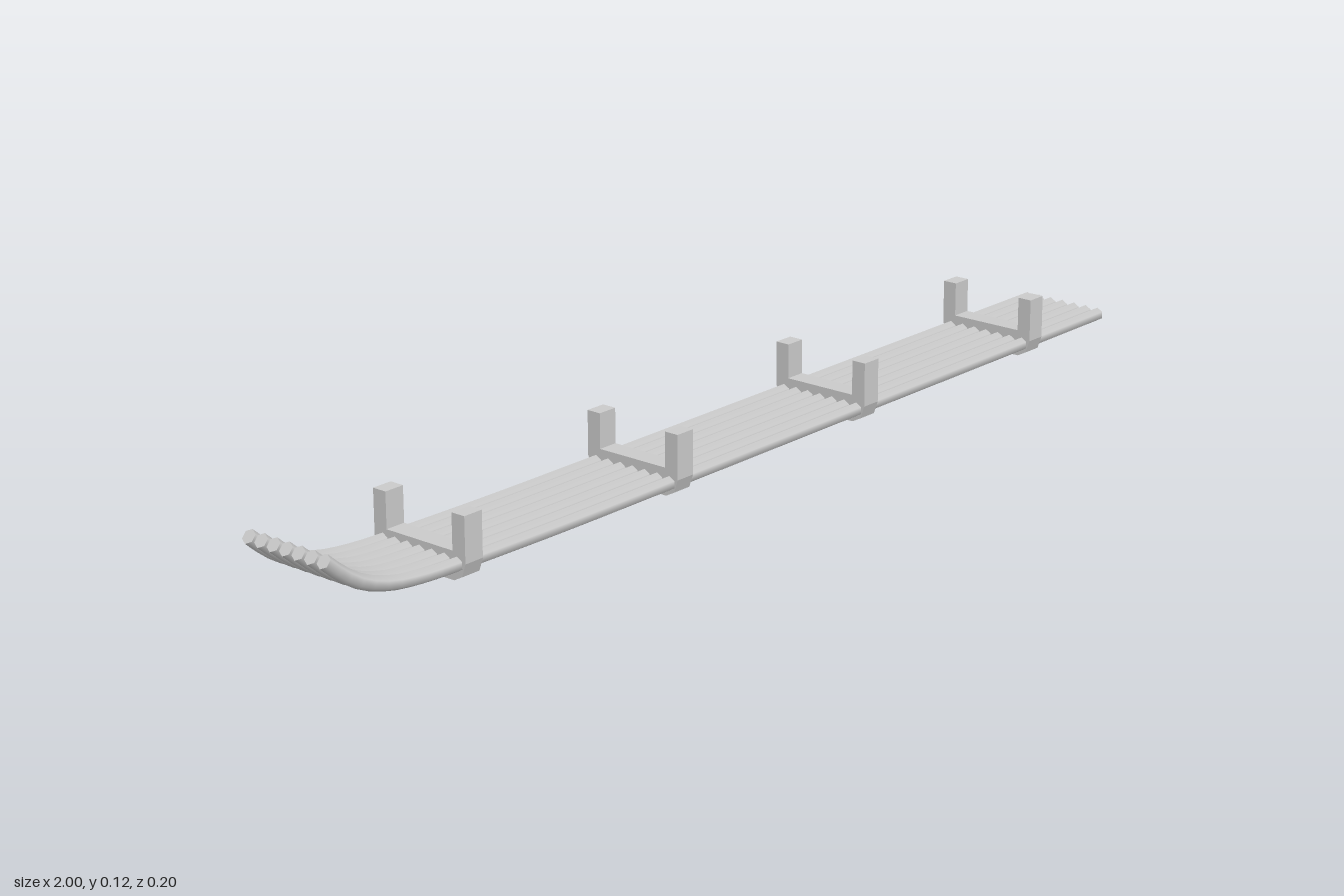
import * as THREE from 'three';

const material = new THREE.MeshStandardMaterial({ color: 0xcccccc });

// Centre line of a rod: upturned tip at -x, then straight
const path = new THREE.CatmullRomCurve3([
  [-0.992, 0.113], [-0.955, 0.082], [-0.915, 0.058], [-0.86, 0.04], [-0.79, 0.031],
  [-0.7, 0.0275], [-0.5, 0.024], [-0.25, 0.0233], [0.3, 0.0233], [1, 0.0233],
].map(([x, y]) => new THREE.Vector3(x, y, 0)));

// Six-sided bar bent along the path, one edge pointing up
function rodGeometry(radius = 0.0125, steps = 72) {
  const geo = new THREE.CylinderGeometry(radius, radius, 1, 6, steps);
  const pos = geo.attributes.position, nor = geo.attributes.normal;
  const side = new THREE.Vector3(0, 0, 1);
  for (let i = 0; i < pos.count; i++) {
    const t = THREE.MathUtils.clamp(pos.getY(i) + 0.5, 0, 1);
    const tangent = path.getTangentAt(t);
    const up = side.clone().cross(tangent);
    const p = path.getPointAt(t).addScaledVector(side, pos.getX(i)).addScaledVector(up, pos.getZ(i));
    const n = new THREE.Vector3().addScaledVector(side, nor.getX(i))
      .addScaledVector(tangent, nor.getY(i)).addScaledVector(up, nor.getZ(i));
    pos.setXYZ(i, p.x, p.y, p.z);
    nor.setXYZ(i, n.x, n.y, n.z);
  }
  return geo;
}

// U-shaped bracket with chamfered lower corners
function bracketGeometry(width = 0.038) {
  const half = [[0.073, 0], [0.09, 0.009], [0.098, 0.032], [0.098, 0.11], [0.071, 0.11], [0.071, 0.048]];
  const outline = [...half, ...half.map(([z, y]) => [-z, y]).reverse()];
  const shape = new THREE.Shape(outline.map(([z, y]) => new THREE.Vector2(z, y)));
  const geo = new THREE.ExtrudeGeometry(shape, { depth: width, bevelEnabled: false });
  return geo.translate(0, 0, -width / 2).rotateY(Math.PI / 2);
}

export function createModel() {
  const model = new THREE.Group();
  model.name = 'slattedRunner';

  // Seven parallel rods
  const rodGeo = rodGeometry();
  for (let i = -3; i <= 3; i++) {
    const rod = new THREE.Mesh(rodGeo, material);
    rod.name = `rod${i + 4}`;
    rod.position.z = i * 0.0267;
    model.add(rod);
  }

  // Four evenly spaced brackets
  const bracketGeo = bracketGeometry();
  for (let i = 0; i < 4; i++) {
    const bracket = new THREE.Mesh(bracketGeo, material);
    bracket.name = `bracket${i + 1}`;
    bracket.position.x = -0.7 + i * 0.491;
    model.add(bracket);
  }
  return model;
}
